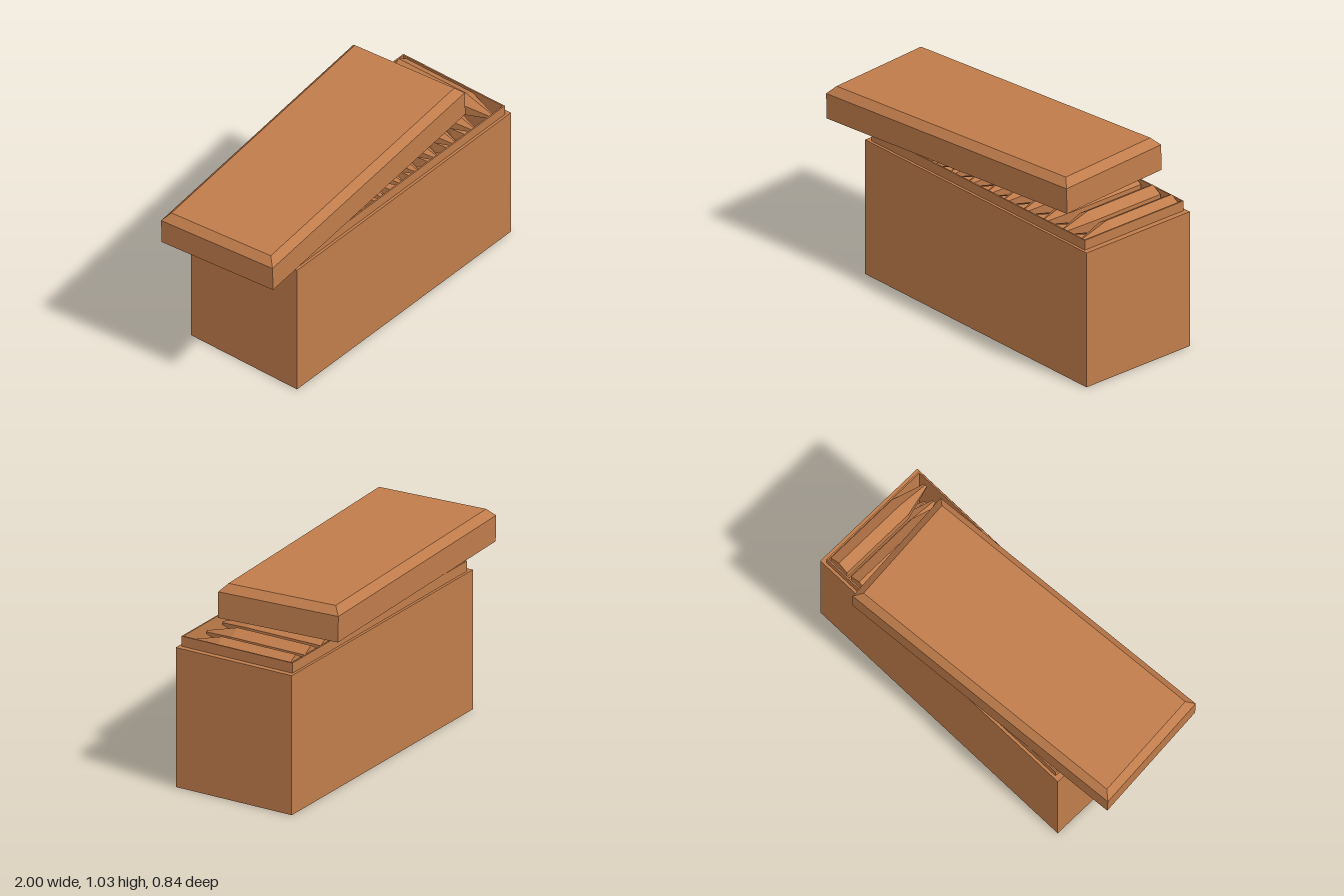
import * as THREE from 'three';

// Skin of stacked rectangular rings [halfX, halfZ, y]; halfX = 0 closes to a point
function rectLoft(rings) {
  const corners = [[1, 1], [1, -1], [-1, -1], [-1, 1]];
  const pos = [];
  const at = (r, i) => [r[0] * corners[i % 4][0], r[2], r[1] * corners[i % 4][1]];
  for (let k = 0; k < rings.length - 1; k++) {
    const lo = rings[k], hi = rings[k + 1];
    for (let i = 0; i < 4; i++) {
      const a = at(lo, i), b = at(lo, i + 1), c = at(hi, i + 1), d = at(hi, i);
      if (lo[0] > 0) pos.push(...a, ...b, ...c);
      if (hi[0] > 0) pos.push(...a, ...c, ...d);
    }
  }
  const g = new THREE.BufferGeometry();
  g.setAttribute('position', new THREE.Float32BufferAttribute(pos, 3));
  g.computeVertexNormals();
  return g;
}

// Six-sided stick lying along z with a tapered tip towards +z
function stickGeometry(radius, back, shoulder, tip) {
  const profile = [[0, back], [radius, back], [radius, shoulder], [0.012, tip], [0, tip]]
    .map(([r, l]) => new THREE.Vector2(r, l));
  const g = new THREE.LatheGeometry(profile, 6).rotateX(Math.PI / 2).toNonIndexed();
  g.computeVertexNormals();
  return g;
}

export function createModel() {
  const model = new THREE.Group();
  model.name = 'stickBox';
  const wood = new THREE.MeshStandardMaterial({ color: 0xc07c4b });
  wood.name = 'warmBrown';

  // Hollow box with a stepped rim
  const base = new THREE.Group();
  base.name = 'base';
  base.position.set(0.147, 0, 0.011);
  base.rotation.y = 0.0148;
  model.add(base);
  const box = new THREE.Mesh(rectLoft([
    [0, 0, 0], [0.843, 0.348, 0], [0.843, 0.348, 0.76],
    [0.813, 0.333, 0.76], [0.813, 0.333, 0.815],
    [0.805, 0.325, 0.815], [0.805, 0.325, 0.015], [0, 0, 0.015],
  ]), wood);
  box.name = 'box';
  base.add(box);

  // Staggered layers of sticks filling the box
  const stick = stickGeometry(0.066, -0.31, 0.13, 0.31);
  const columns = [0.748, 0.605, 0.457, 0.308, 0.158, 0.035, -0.11, -0.25, -0.397, -0.54, -0.685];
  for (let row = 0; row < 6; row++) {
    columns.forEach((x) => {
      const m = new THREE.Mesh(stick, wood);
      m.name = 'stick';
      m.position.set(x - (row % 2) * 0.06, 0.769 - row * 0.125, 0);
      base.add(m);
    });
  }

  // Hollow lid with a bevelled top, resting askew
  const lid = new THREE.Mesh(rectLoft([
    [0, 0, 0.165], [0.793, 0.297, 0.165], [0.831, 0.333, 0.135], [0.831, 0.333, 0],
    [0.842, 0.344, 0], [0.842, 0.344, 0.14], [0.803, 0.307, 0.18], [0, 0, 0.18],
  ]), wood);
  lid.name = 'lid';
  lid.rotation.set(-0.003, 0.095, 0.0315, 'YXZ');
  lid.position.set(-0.127, 0.8285, -0.0025);
  model.add(lid);

  return model;
}
